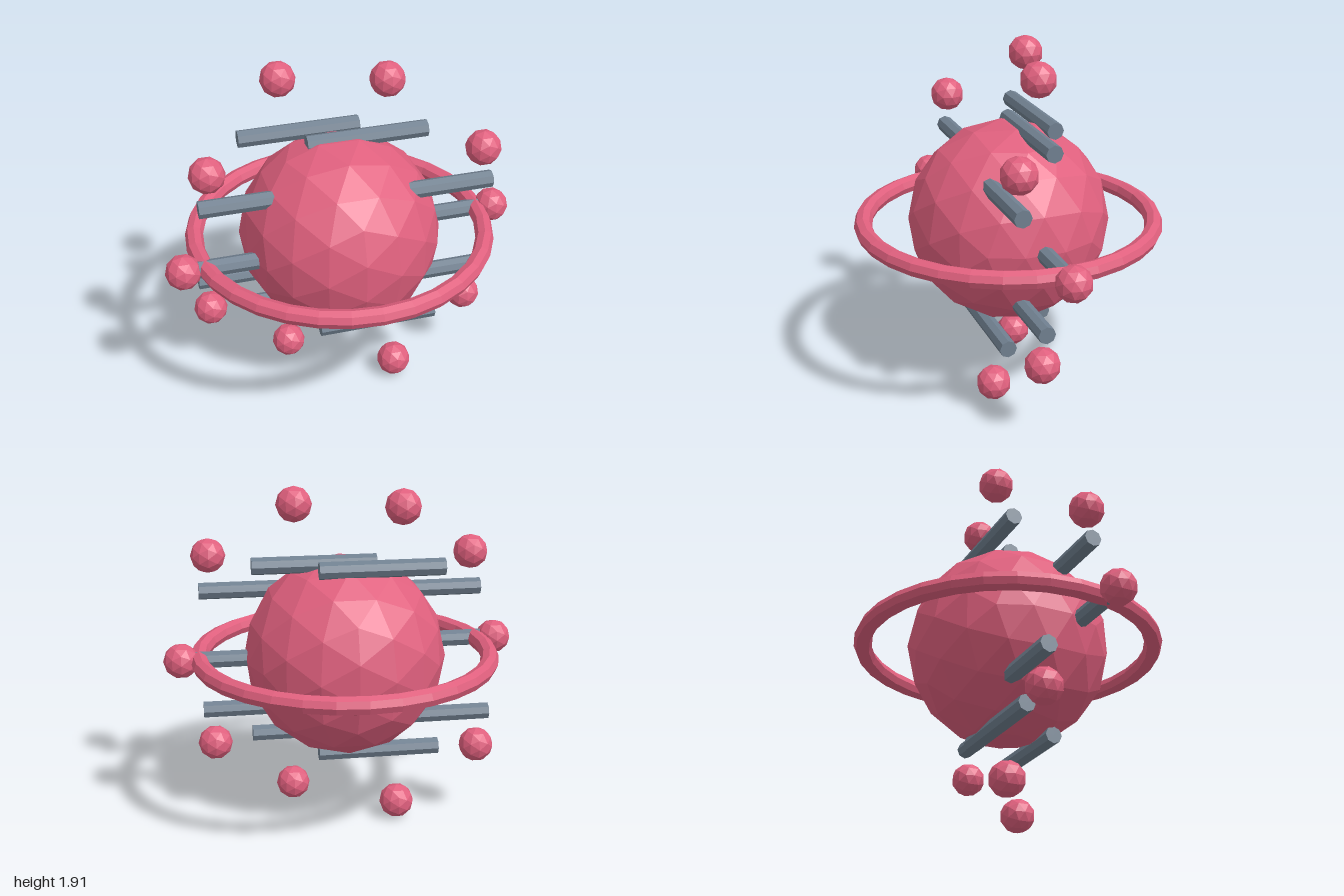
import * as THREE from 'three';

export function createModel() {
  const group = new THREE.Group();
  group.name = 'orbitalCore';
  const pink = new THREE.MeshStandardMaterial({ color: 0xe0607e, flatShading: true });
  const slate = new THREE.MeshStandardMaterial({ color: 0x708090, flatShading: true });

  const centreY = 0.956;
  const coreRadius = 0.558;
  const orbitRadius = 0.902;
  const count = 10;

  function add(name, geometry, material, x, y, z) {
    const mesh = new THREE.Mesh(geometry, material);
    mesh.name = name;
    mesh.position.set(x, y, z);
    group.add(mesh);
    return mesh;
  }

  // Faceted central sphere
  add('core', new THREE.IcosahedronGeometry(coreRadius, 2), pink, 0, centreY, 0);

  // Horizontal ring
  const ring = new THREE.TorusGeometry(0.805, 0.05, 8, 32).rotateX(Math.PI / 2);
  add('ring', ring, pink, 0, centreY, 0);

  // Rods along x and outer balls, spread round a circle and waving in depth
  const rod = new THREE.CylinderGeometry(0.048, 0.048, 0.675, 8).rotateZ(Math.PI / 2);
  const ball = new THREE.IcosahedronGeometry(0.0975, 1);
  for (let i = 0; i < count; i++) {
    const angle = (i / count) * Math.PI * 2;
    const c = Math.cos(angle);
    const s = Math.sin(angle);
    const z = 0.224 * Math.sin(i * 1.7);
    add('rod' + (i + 1), rod, slate, c * coreRadius, centreY + s * coreRadius, z);
    add('ball' + (i + 1), ball, pink, c * orbitRadius, centreY + s * orbitRadius, z);
  }

  return group;
}
